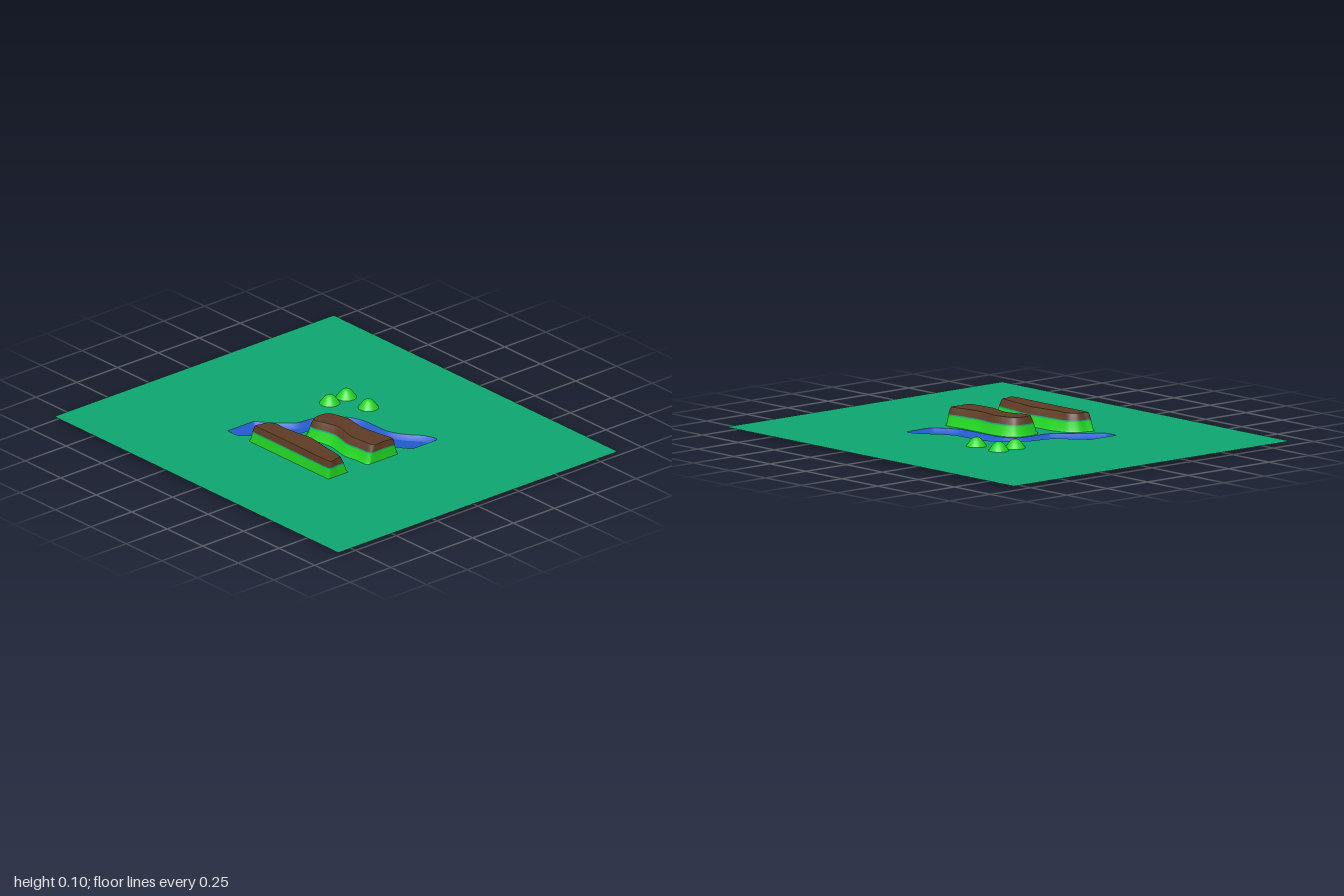
import * as THREE from 'three';

const paint = (name, color) => {
  const m = new THREE.MeshStandardMaterial({ color, side: THREE.DoubleSide });
  m.name = name;
  return m;
};

const GROUND = 0.02; // level of the flat land
const EDGE = 0.355; // half size of the sculpted patch

// Each row: foot x, foot z, crest x, crest z
const WEST_RIDGE = [
  [-0.355, 0.355, -0.343, 0.345], [-0.29, 0.355, -0.3, 0.345], [-0.235, 0.355, -0.275, 0.345],
  [-0.215, 0.28, -0.26, 0.28], [-0.2, 0.2, -0.252, 0.2], [-0.195, 0.1, -0.235, 0.1],
  [-0.205, 0.02, -0.245, 0.02], [-0.205, -0.06, -0.255, -0.06], [-0.23, -0.15, -0.255, -0.13],
  [-0.27, -0.19, -0.28, -0.165], [-0.315, -0.2, -0.315, -0.17], [-0.355, -0.2, -0.343, -0.17],
  [-0.355, -0.05, -0.343, -0.05], [-0.355, 0.15, -0.343, 0.15],
];
const EAST_RIDGE = [
  [-0.11, 0.355, -0.07, 0.345], [-0.02, 0.355, -0.01, 0.345], [0.07, 0.355, 0.045, 0.345],
  [0.068, 0.25, 0.03, 0.25], [0.066, 0.15, 0.02, 0.15], [0.07, 0.05, 0.035, 0.05],
  [0.06, -0.03, 0.02, -0.02], [0.03, -0.08, 0.005, -0.055], [-0.03, -0.1, -0.035, -0.068],
  [-0.1, -0.09, -0.08, -0.06], [-0.13, -0.05, -0.095, -0.03], [-0.115, 0.04, -0.07, 0.04],
  [-0.11, 0.1, -0.06, 0.1], [-0.13, 0.2, -0.085, 0.2], [-0.12, 0.28, -0.08, 0.28],
];
const RIVER = [
  [-0.355, -0.355], [-0.27, -0.355], [-0.2, -0.355], [-0.16, -0.31], [-0.1, -0.245], [-0.05, -0.21],
  [0.03, -0.2], [0.11, -0.155], [0.165, -0.1], [0.195, -0.02], [0.2, 0.13], [0.24, 0.215],
  [0.295, 0.28], [0.315, 0.35], [0.24, 0.355], [0.16, 0.35], [0.12, 0.295], [0.083, 0.22],
  [0.08, 0.06], [0.072, -0.05], [0.02, -0.11], [-0.1, -0.112], [-0.155, -0.125],
  [-0.21, -0.175], [-0.26, -0.215], [-0.35, -0.285],
];
const MOUNDS = [[0.205, -0.28], [0.307, -0.28], [0.307, -0.125]];

// Closed smooth outline on the ground, kept inside the patch
function outline(points, steps) {
  const curve = new THREE.CatmullRomCurve3(
    points.map(([x, z]) => new THREE.Vector3(x, 0, z)), true, 'catmullrom', 0.4);
  return Array.from({ length: points.length * steps }, (_, i) => {
    const p = curve.getPoint(i / (points.length * steps));
    return new THREE.Vector2(
      THREE.MathUtils.clamp(p.x, -EDGE, EDGE), THREE.MathUtils.clamp(p.y + p.z, -EDGE, EDGE));
  });
}

// Skin between two or more rings { pts, y }
function skin(rings) {
  const n = rings[0].pts.length, pos = [], index = [];
  rings.forEach(({ pts, y }) => pts.forEach(p => pos.push(p.x, y, p.y)));
  for (let r = 0; r < rings.length - 1; r++) {
    for (let i = 0; i < n; i++) {
      const a = r * n + i, b = r * n + (i + 1) % n;
      index.push(a, b, a + n, b, b + n, a + n);
    }
  }
  const g = new THREE.BufferGeometry();
  g.setAttribute('position', new THREE.Float32BufferAttribute(pos, 3));
  g.setIndex(index);
  g.computeVertexNormals();
  return g;
}

const flip = pts => pts.map(p => new THREE.Vector2(p.x, -p.y));

// Flat face inside an outline, with optional holes
function sheet(pts, y, holes = []) {
  const shape = new THREE.Shape(flip(pts));
  holes.forEach(h => shape.holes.push(new THREE.Path(flip(h))));
  return new THREE.ShapeGeometry(shape).rotateX(-Math.PI / 2).translate(0, y, 0);
}

// Outline moved inward by a distance
function inset(pts, d) {
  const n = pts.length, s = Math.sign(THREE.ShapeUtils.area(pts));
  return pts.map((p, i) => {
    const t = pts[(i + 2) % n].clone().sub(pts[(i + n - 2) % n]).normalize();
    return new THREE.Vector2(p.x - t.y * d * s, p.y + t.x * d * s);
  });
}

export function createModel() {
  const model = new THREE.Group();
  model.name = 'landscape';
  const meadow = paint('meadow green', 0x0fa671);
  const grass = paint('bright grass', 0x22d522);
  const earth = paint('brown earth', 0x5f3c25);
  const water = paint('river blue', 0x215ac9);
  const add = (parent, name, geometry, material) => {
    const mesh = new THREE.Mesh(geometry, material);
    mesh.name = name;
    parent.add(mesh);
    return mesh;
  };
  const group = name => {
    const g = new THREE.Group();
    g.name = name;
    model.add(g);
    return g;
  };
  const holes = [];

  // Hollow ridges: grassy foot, thin meadow band, brown crest
  for (const [name, rows] of [['westRidge', WEST_RIDGE], ['eastRidge', EAST_RIDGE]]) {
    const foot = outline(rows.map(r => [r[0], r[1]]), 5);
    const crest = outline(rows.map(r => [r[2], r[3]]), 5);
    const ring = (f, y) => ({ pts: foot.map((p, i) => p.clone().lerp(crest[i], f)), y });
    const ridge = group(name);
    const band = ring(0.5, 0.067), brow = ring(0.55, 0.073);
    add(ridge, 'grassSlope', skin([ring(0, GROUND), ring(0.2, 0.03), band]), grass);
    add(ridge, 'meadowBand', skin([band, brow]), meadow);
    add(ridge, 'earthSlope', skin([brow, ring(0.85, 0.1), ring(1, 0.105)]), earth);
    add(ridge, 'earthTop', sheet(crest, 0.105), earth);
    holes.push(foot);
  }

  // Sunken river bed
  const bank = outline(RIVER, 4);
  const bed = inset(bank, 0.026);
  const river = group('river');
  add(river, 'riverBanks', skin([
    { pts: bank, y: GROUND }, { pts: inset(bank, 0.013), y: 0.008 }, { pts: bed, y: 0 },
  ]), water);
  add(river, 'riverBed', sheet(bed, 0), water);
  holes.push(bank);

  // Small round mounds
  const bell = [[0.048, 0.02], [0.044, 0.026], [0.034, 0.04], [0.022, 0.054], [0.011, 0.061], [0, 0.062]]
    .map(p => new THREE.Vector2(...p));
  for (const [x, z] of MOUNDS) {
    add(model, 'mound', new THREE.LatheGeometry(bell, 20), grass).position.set(x, 0, z);
    holes.push(Array.from({ length: 20 }, (_, i) => new THREE.Vector2(
      x + 0.048 * Math.sin(i * Math.PI / 10), z + 0.048 * Math.cos(i * Math.PI / 10))));
  }

  // Flat land, open under the relief
  const land = [[-0.855, -1], [0.855, -1], [0.855, 1], [-0.855, 1]].map(p => new THREE.Vector2(...p));
  add(model, 'land', sheet(land, GROUND, holes), meadow);
  return model;
}
